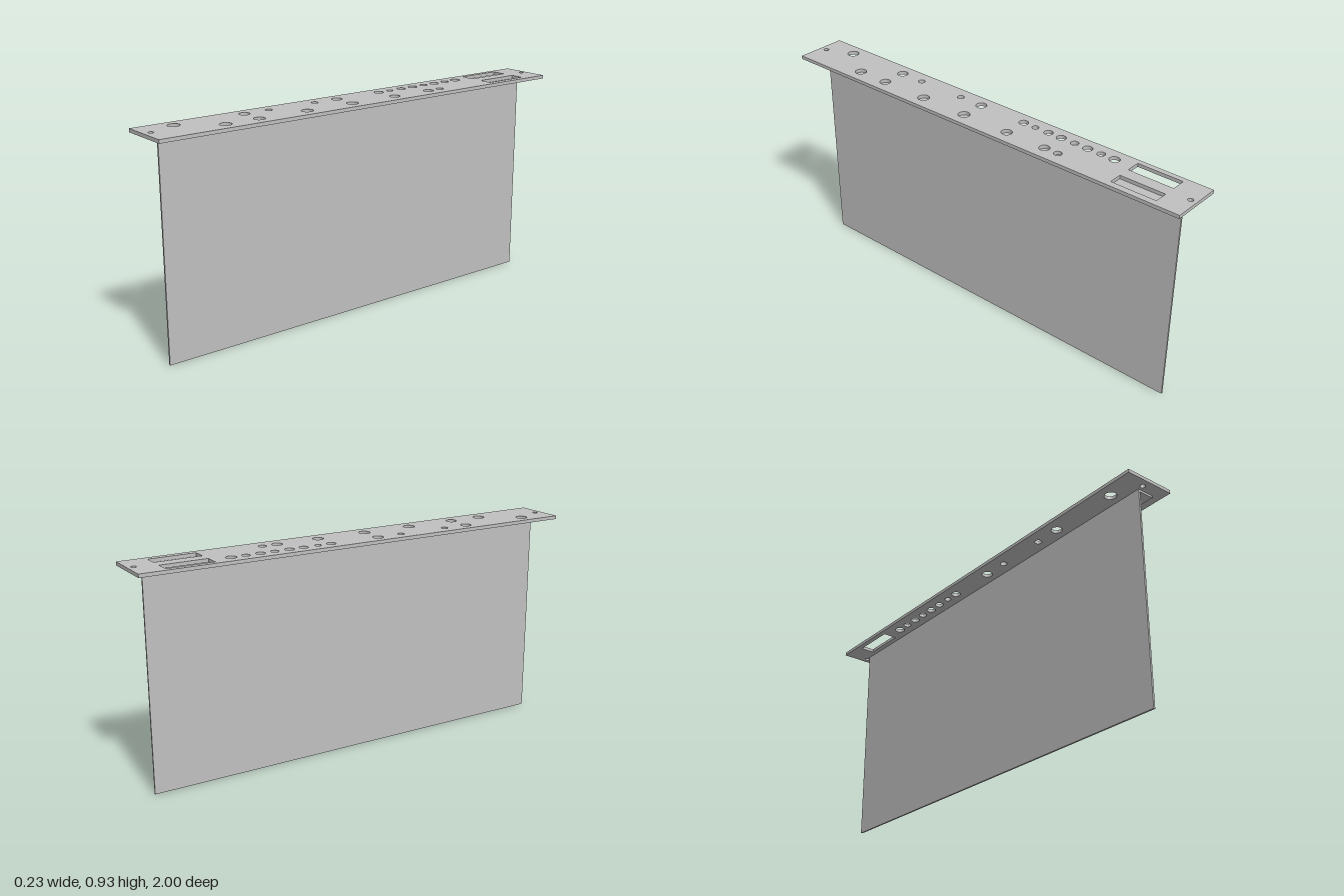
import * as THREE from 'three';

const metal = new THREE.MeshStandardMaterial({ color: 0xc0c0c0 });
metal.name = 'grey metal';

// Panel cutouts: round holes as [z, radius] per column, slots as x ranges
const leftHoles = [
  [-0.6, 0.022], [-0.537, 0.017], [-0.473, 0.02], [-0.41, 0.017], [-0.344, 0.02],
  [-0.28, 0.019], [-0.214, 0.014], [-0.153, 0.02], [0.074, 0.023], [0.188, 0.015],
  [0.415, 0.015], [0.53, 0.023], [0.844, 0.025],
];
const rightHoles = [
  [-0.41, 0.017], [-0.344, 0.022], [-0.153, 0.023], [0.074, 0.025],
  [0.302, 0.025], [0.53, 0.024], [0.682, 0.025],
];
const slots = [[-0.09, -0.027], [0.026, 0.085]];

// Rectangle path in plan; shape y is -z
function rectangle(path, x0, x1, z0, z1) {
  path.moveTo(x0, -z1);
  path.lineTo(x1, -z1);
  path.lineTo(x1, -z0);
  path.lineTo(x0, -z0);
  path.closePath();
  return path;
}

function addHole(shape, x, z, r) {
  const hole = new THREE.Path();
  hole.absarc(x, -z, r, 0, Math.PI * 2, true);
  shape.holes.push(hole);
}

function createFacePanel() {
  const shape = rectangle(new THREE.Shape(), -0.113, 0.113, -1, 1);
  slots.forEach(([a, b]) => shape.holes.push(rectangle(new THREE.Path(), a, b, -0.884, -0.683)));
  leftHoles.forEach(([z, r]) => addHole(shape, -0.056, z, r));
  rightHoles.forEach(([z, r]) => addHole(shape, 0.05, z, r));
  // Mounting screw holes at both ends
  addHole(shape, 0, -0.973, 0.011);
  addHole(shape, -0.005, 0.968, 0.011);
  const geometry = new THREE.ExtrudeGeometry(shape, { depth: 0.015, bevelEnabled: false, curveSegments: 16 });
  geometry.rotateX(-Math.PI / 2);
  const mesh = new THREE.Mesh(geometry, metal);
  mesh.position.y = 0.9195;
  mesh.name = 'facePanel';
  return mesh;
}

// Bent sheet: tall web with a flange folded under the panel
function createBentSheet() {
  const profile = [[-0.005, 0], [0.003, 0], [0.003, 0.91], [0.07, 0.91], [0.07, 0.9193], [-0.005, 0.9193]];
  const shape = new THREE.Shape(profile.map(([x, y]) => new THREE.Vector2(x, y)));
  const geometry = new THREE.ExtrudeGeometry(shape, { depth: 1.89, bevelEnabled: false });
  const mesh = new THREE.Mesh(geometry, metal);
  mesh.position.z = -0.945;
  mesh.name = 'bentSheet';
  return mesh;
}

export function createModel() {
  const group = new THREE.Group();
  group.name = 'panelWithBracket';
  group.add(createFacePanel(), createBentSheet());
  return group;
}
